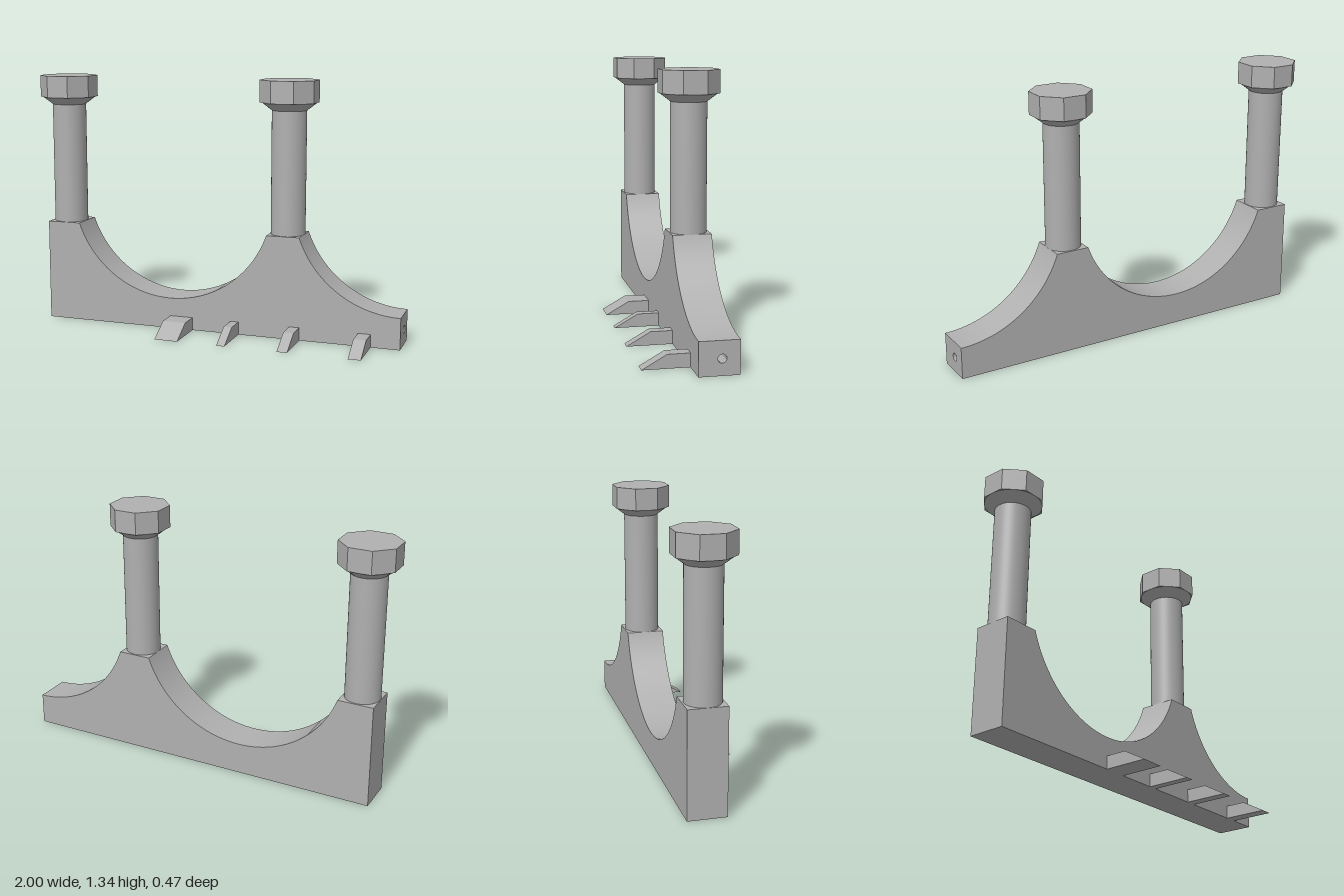
import * as THREE from 'three';
import { toCreasedNormals } from 'three/addons/utils/BufferGeometryUtils.js';

const Z_FRONT = 0.005, Z_BACK = -0.19, TOP = 0.54;
const ARC_R = 0.562, ARC_Y = 0.727;
const HOLE = { y: 0.08, z: -0.105, r: 0.021, depth: 0.12 };

export function createModel() {
  const model = new THREE.Group();
  const grey = new THREE.MeshStandardMaterial({ color: 0xb0b0b0 });
  grey.name = 'plain grey';

  const add = (name, geometry, parent = model) => {
    const mesh = new THREE.Mesh(geometry, grey);
    mesh.name = name;
    parent.add(mesh);
    return mesh;
  };

  // Saddle body: a full round valley and a half valley between raised seats
  const half = Math.asin((ARC_Y - TOP) / ARC_R);
  const outline = new THREE.Shape();
  outline.moveTo(-0.95, 0);
  outline.lineTo(-0.95, TOP);
  outline.absarc(-0.235, ARC_Y, ARC_R, Math.PI + half, 2 * Math.PI - half, false);
  outline.absarc(1, ARC_Y, ARC_R, Math.PI + half, 1.5 * Math.PI, false);
  outline.lineTo(1, 0);
  outline.closePath();
  const solid = new THREE.ExtrudeGeometry(outline, {
    depth: Z_FRONT - Z_BACK, bevelEnabled: false, curveSegments: 48,
  });
  solid.translate(0, 0, Z_BACK);
  // Leave the right end open, so the drilled end face can close it
  const p = solid.toNonIndexed ? (solid.index ? solid.toNonIndexed() : solid).attributes.position : null;
  const kept = [];
  for (let i = 0; i < p.count; i += 3) {
    if ([0, 1, 2].every((k) => p.getX(i + k) > 0.9999)) continue;
    for (let k = 0; k < 3; k++) kept.push(p.getX(i + k), p.getY(i + k), p.getZ(i + k));
  }
  const bodyGeometry = new THREE.BufferGeometry();
  bodyGeometry.setAttribute('position', new THREE.Float32BufferAttribute(kept, 3));
  add('saddleBody', toCreasedNormals(bodyGeometry, 0.4));

  // Drilled end face and its blind hole
  const endHeight = ARC_Y - ARC_R;
  const end = new THREE.Shape();
  end.moveTo(-Z_FRONT, 0);
  end.lineTo(-Z_BACK, 0);
  end.lineTo(-Z_BACK, endHeight);
  end.lineTo(-Z_FRONT, endHeight);
  end.closePath();
  const drill = new THREE.Path();
  drill.absarc(-HOLE.z, HOLE.y, HOLE.r, 0, Math.PI * 2, true);
  end.holes.push(drill);
  const endFace = new THREE.ShapeGeometry(end, 24);
  endFace.rotateY(Math.PI / 2);
  add('endFace', endFace).position.x = 1;

  const bore = new THREE.LatheGeometry([
    new THREE.Vector2(HOLE.r, 0),
    new THREE.Vector2(HOLE.r, -HOLE.depth),
    new THREE.Vector2(0, -HOLE.depth),
  ], 24);
  bore.rotateZ(-Math.PI / 2);
  add('endHole', toCreasedNormals(bore, 0.6)).position.set(1, HOLE.y, HOLE.z);

  // Two posts, each with a flared collar and an octagonal head
  for (const [name, x] of [['rightPost', -0.858], ['leftPost', 0.385]]) {
    const post = new THREE.Group();
    post.name = name;
    post.position.set(x, 0, -0.092);
    add('shaft', new THREE.CylinderGeometry(0.09, 0.09, 1.18 - TOP, 48), post).position.y = (1.18 + TOP) / 2;
    add('collar', new THREE.CylinderGeometry(0.1425, 0.09, 0.04, 48), post).position.y = 1.2;
    const headGeometry = new THREE.CylinderGeometry(0.154, 0.154, 0.115, 8);
    headGeometry.rotateY(Math.PI / 8);
    add('octagonalHead', toCreasedNormals(headGeometry, 0.3), post).position.y = 1.2775;
    model.add(post);
  }

  // Wedge teeth of differing widths along the front foot
  const wedge = new THREE.Shape();
  wedge.moveTo(0, 0);
  wedge.lineTo(0.235, 0);
  wedge.lineTo(0.115, 0.068);
  wedge.lineTo(0, 0.068);
  wedge.closePath();
  for (const [x0, x1] of [[-0.235, -0.11], [0.103, 0.147], [0.423, 0.477], [0.785, 0.85]]) {
    const tooth = new THREE.ExtrudeGeometry(wedge, { depth: x1 - x0, bevelEnabled: false });
    tooth.rotateY(-Math.PI / 2);
    add('frontTooth', tooth).position.x = x1;
  }

  return model;
}
